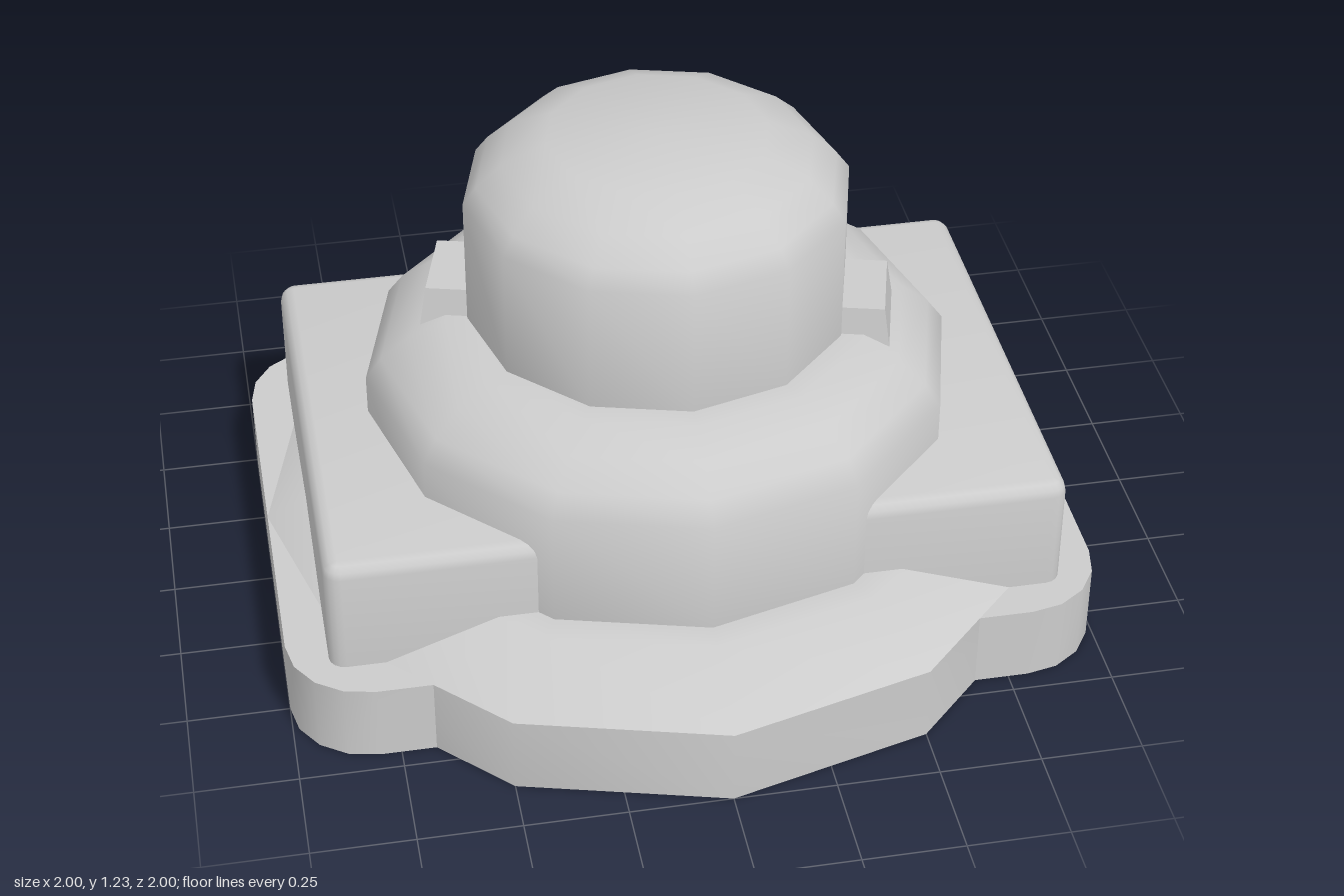
import * as THREE from 'three';
import { toCreasedNormals } from 'three/addons/utils/BufferGeometryUtils.js';

const material = new THREE.MeshStandardMaterial({ color: 0xcccccc, side: THREE.DoubleSide });

function addMesh(group, name, geometry, crease = 0.7) {
  const mesh = new THREE.Mesh(toCreasedNormals(geometry, crease), material);
  mesh.name = name;
  group.add(mesh);
  return mesh;
}

// Twelve-sided turned part from [radius, height] pairs
const turned = (profile) =>
  new THREE.LatheGeometry(profile.map(([r, y]) => new THREE.Vector2(r, y)), 12);

// Rounded rectangle at height y, from half sizes and corner radius
function roundedRing(halfX, halfZ, radius, y, steps = 4) {
  const ring = [];
  [[1, 1], [-1, 1], [-1, -1], [1, -1]].forEach(([sx, sz], corner) => {
    for (let i = 0; i <= steps; i++) {
      const a = (corner + i / steps) * Math.PI / 2;
      ring.push([
        sx * (halfX - radius) + radius * Math.cos(a), y,
        sz * (halfZ - radius) + radius * Math.sin(a),
      ]);
    }
  });
  return ring;
}

// Open shell through a stack of equal-length rings
function loft(rings) {
  const n = rings[0].length;
  const index = [];
  for (let i = 0; i < rings.length - 1; i++) {
    for (let j = 0; j < n; j++) {
      const a = i * n + j, b = i * n + (j + 1) % n;
      index.push(a, a + n, b, b, a + n, b + n);
    }
  }
  const geometry = new THREE.BufferGeometry();
  geometry.setAttribute('position', new THREE.Float32BufferAttribute(rings.flat(2), 3));
  geometry.setIndex(index);
  return geometry;
}

export function createModel() {
  const group = new THREE.Group();

  // Base plate: outer wall and a top that stops at the housing
  addMesh(group, 'basePlate', loft([
    roundedRing(1, 0.7, 0.2, 0),
    roundedRing(1, 0.7, 0.2, 0.2),
    roundedRing(0.9, 0.6, 0.04, 0.2),
  ]));

  // Rectangular housing with softened top edge, open underneath
  const housing = [roundedRing(0.9, 0.6, 0.04, 0.2)];
  for (let i = 0; i <= 3; i++) {
    const a = i / 3 * Math.PI / 2;
    const inset = 0.035 * (1 - Math.cos(a));
    housing.push(roundedRing(0.9 - inset, 0.6 - inset, 0.04 - inset, 0.465 + 0.035 * Math.sin(a)));
  }
  housing.push(housing[0].map(() => [0, 0.5, 0]));
  addMesh(group, 'housing', loft(housing));

  // Round flange with sloping shoulder
  addMesh(group, 'flange', turned([[1, 0], [1, 0.2], [0.8, 0.3], [0.73, 0.3]]), 0.56);

  // Round body with rounded shoulder
  addMesh(group, 'body', turned([
    [0.73, 0.3], [0.73, 0.6], [0.69, 0.655], [0.62, 0.71], [0.53, 0.75], [0.46, 0.75],
  ]), 0.8);

  // Domed button
  addMesh(group, 'button', turned([
    [0.473, 0.74], [0.473, 1.08], [0.44, 1.125], [0.38, 1.18], [0.27, 1.23], [0, 1.23],
  ]), 0.8);

  // Two tapered lugs on opposite sides of the button
  for (const turn of [0, Math.PI]) {
    const lug = new THREE.BoxGeometry(0.12, 0.1, 0.24);
    const p = lug.attributes.position;
    for (let i = 0; i < p.count; i++) {
      if (p.getY(i) < 0) continue;
      p.setZ(i, p.getZ(i) * 0.87);
      if (p.getX(i) > 0) p.setX(i, 0.045);
    }
    lug.translate(0.515, 0.77, 0);
    addMesh(group, turn ? 'rightLug' : 'leftLug', lug, 0.3).rotation.y = turn - Math.PI / 12;
  }
  return group;
}
